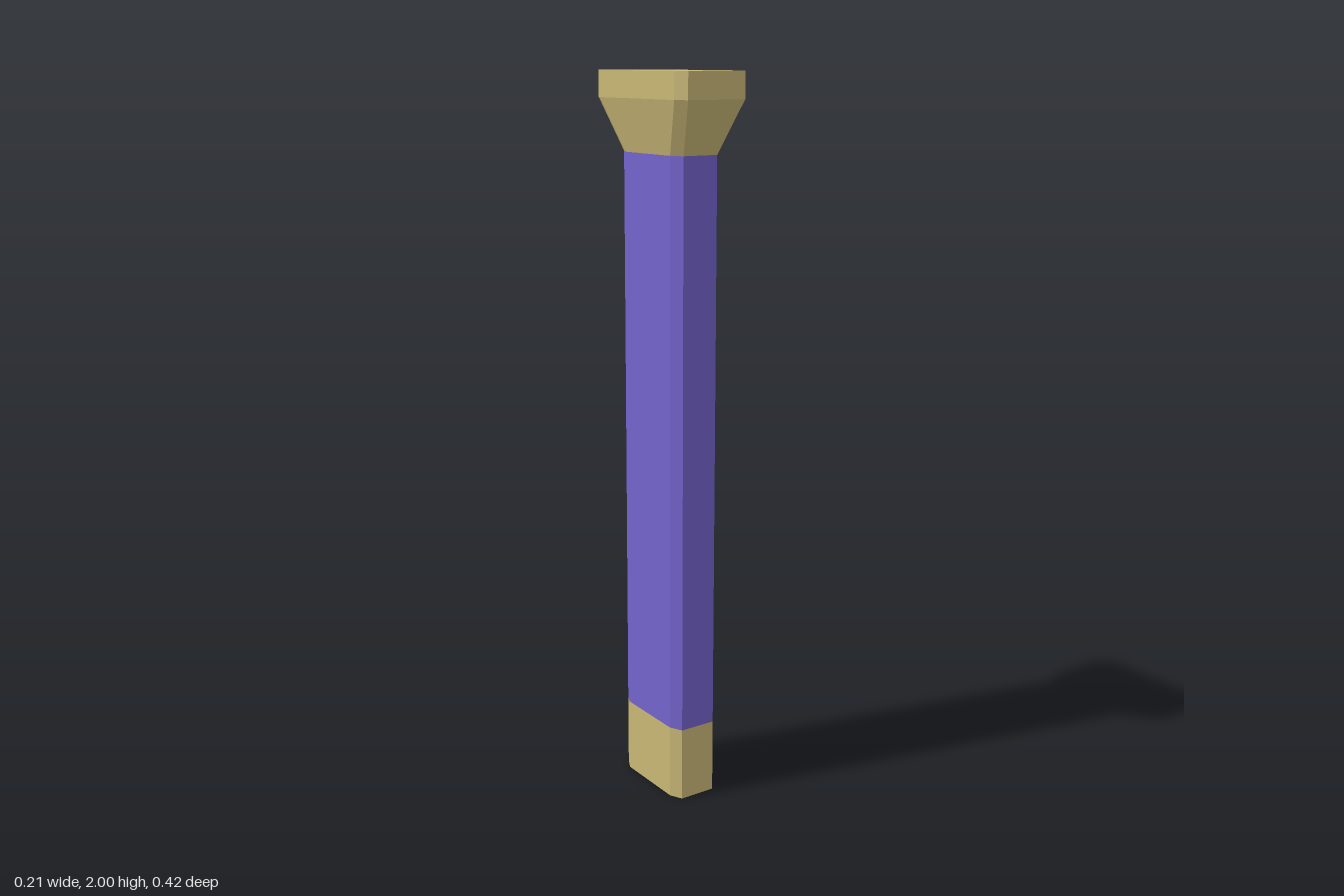
import * as THREE from 'three';

const GOLD = 0xc9b876, PURPLE = 0x7464cc;
const CUT_X = 0.0175, CUT_Z = 0.035; // corner chamfer

// Chamfered rectangle, counter-clockwise seen from above
function ring([hx, hz, y]) {
  const ix = hx - CUT_X, iz = hz - CUT_Z;
  return [[hx, iz], [hx, -iz], [ix, -hz], [-ix, -hz], [-hx, -iz], [-hx, iz], [-ix, hz], [ix, hz]]
    .map(([x, z]) => [x, y, z]);
}

// Skin the sections from bottom to top, with optional end caps
function loft(name, color, sections, capBottom, capTop) {
  const rings = sections.map(ring), pos = [];
  const tri = (a, b, c) => pos.push(...a, ...b, ...c);
  for (let s = 0; s < rings.length - 1; s++) {
    const lo = rings[s], hi = rings[s + 1];
    for (let i = 0; i < 8; i++) {
      const j = (i + 1) % 8;
      tri(lo[i], lo[j], hi[j]);
      tri(lo[i], hi[j], hi[i]);
    }
  }
  const bottom = rings[0], top = rings[rings.length - 1];
  for (let i = 1; i < 7; i++) {
    if (capBottom) tri(bottom[0], bottom[i + 1], bottom[i]);
    if (capTop) tri(top[0], top[i], top[i + 1]);
  }
  const geometry = new THREE.BufferGeometry();
  geometry.setAttribute('position', new THREE.Float32BufferAttribute(pos, 3));
  geometry.computeVertexNormals();
  const mesh = new THREE.Mesh(geometry, new THREE.MeshStandardMaterial({ color, flatShading: true }));
  mesh.name = name;
  return mesh;
}

export function createModel() {
  const group = new THREE.Group();
  group.name = 'handle';
  group.add(
    // Plain band at the foot
    loft('endBand', GOLD, [[0.07, 0.14, 0], [0.07, 0.14, 0.21]], true, false),
    // Long coloured grip
    loft('grip', PURPLE, [[0.07, 0.14, 0.21], [0.07, 0.14, 1.79]], false, false),
    // Flared cap with a straight rim
    loft('flaredCap', GOLD, [[0.07, 0.14, 1.79], [0.105, 0.21, 1.93], [0.105, 0.21, 2]], false, true),
  );
  return group;
}
